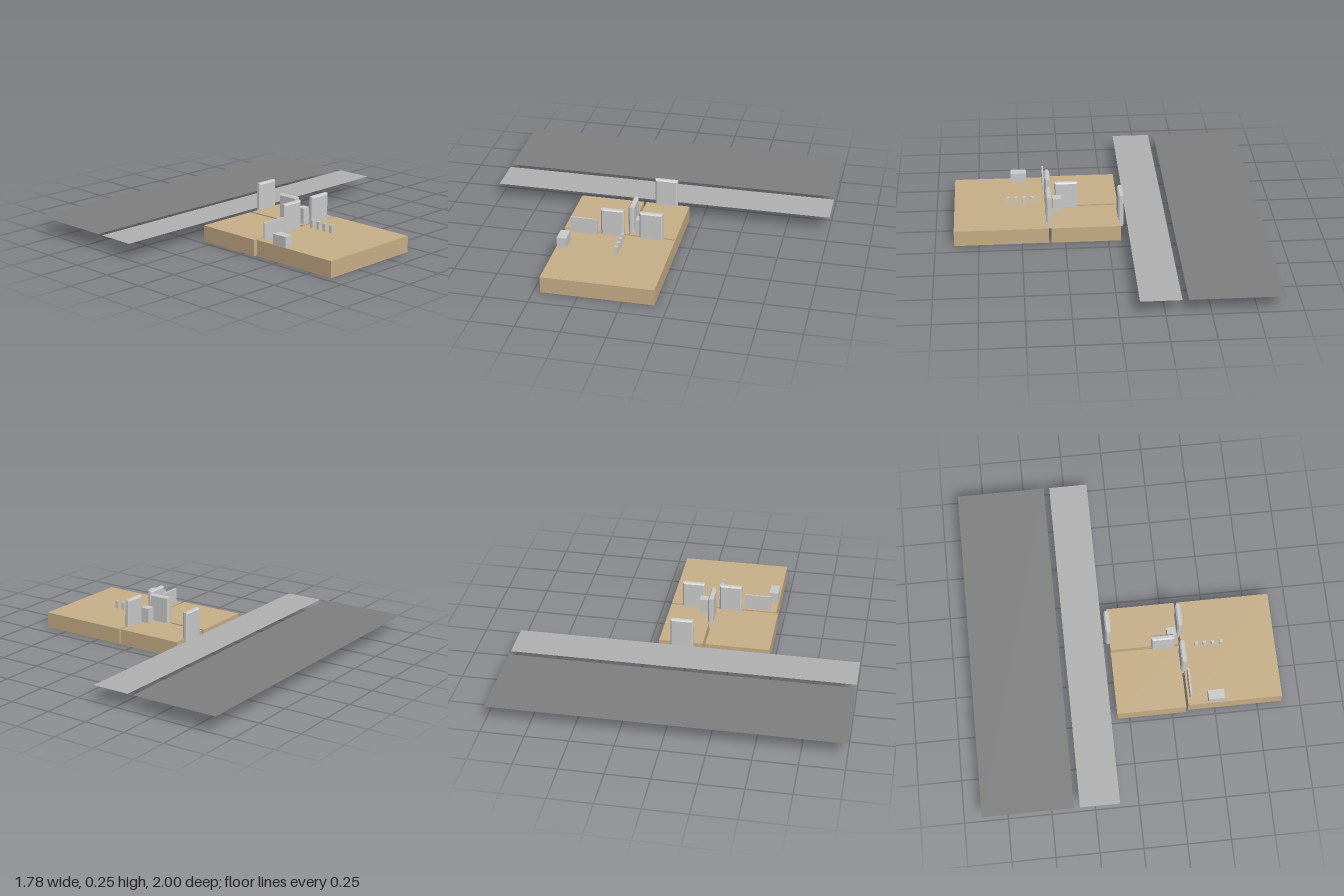
import * as THREE from 'three';

const grey = new THREE.MeshStandardMaterial({ color: 0xcccccc, flatShading: true });
const paint = (color, side = THREE.FrontSide) => new THREE.MeshStandardMaterial({ color, side });
const TOP = 0.095;

export function createModel() {
  const model = new THREE.Group();

  function add(name, geometry, material, x, y, z) {
    const mesh = new THREE.Mesh(geometry, material);
    mesh.name = name;
    mesh.position.set(x, y, z);
    model.add(mesh);
    return mesh;
  }

  // Box given by its limits on each axis
  function box(name, material, [x0, x1], [y0, y1], [z0, z1]) {
    return add(name, new THREE.BoxGeometry(x1 - x0, y1 - y0, z1 - z0), material,
      (x0 + x1) / 2, (y0 + y1) / 2, (z0 + z1) / 2);
  }

  // Flat strips beside the building, level with the floors
  function strip(name, color, x0, x1) {
    const geometry = new THREE.PlaneGeometry(x1 - x0, 2).rotateX(-Math.PI / 2);
    add(name, geometry, paint(color, THREE.DoubleSide), (x0 + x1) / 2, TOP, 0);
  }
  strip('road', 0x808080, -0.895, -0.372);
  strip('pavement', 0xb2b2b2, -0.338, -0.11);

  // Room floors
  const tan = paint(0xc8af88);
  box('entranceFloor', tan, [-0.072, 0.33], [0, TOP], [-0.178, 0.08]);
  box('hallFloor', tan, [-0.072, 0.33], [0, TOP], [0.096, 0.472]);
  box('mainRoomFloor', tan, [0.343, 0.89], [0, TOP], [-0.178, 0.461]);

  // Bevelled door slab, set slightly into the floor
  const bevel = 0.008, width = 0.134, height = 0.2, depth = 0.032;
  const w = width / 2 - bevel, h = height / 2 - bevel;
  const outline = new THREE.Shape([
    new THREE.Vector2(-w, -h), new THREE.Vector2(w, -h),
    new THREE.Vector2(w, h), new THREE.Vector2(-w, h),
  ]);
  const slab = new THREE.ExtrudeGeometry(outline, {
    depth: depth - 2 * bevel, bevelEnabled: true, bevelSize: bevel,
    bevelThickness: bevel, bevelSegments: 1,
  });
  slab.center();
  const doors = [
    ['entranceDoor', -0.078, -0.04, true],
    ['entranceToMainDoor', 0.34, -0.04, true],
    ['hallToMainDoor', 0.34, 0.184, true],
    ['entranceToHallDoor', 0.233, 0.087, false],
  ];
  for (const [name, x, z, turned] of doors) {
    const door = add(name, slab, grey, x, 0.155, z);
    if (turned) door.rotation.y = Math.PI / 2;
  }

  // Furniture
  box('screen', grey, [0.356, 0.366], [TOP, 0.19], [0.268, 0.425]);
  box('chest', grey, [0.46, 0.553], [TOP, 0.155], [0.402, 0.457]);
  box('cabinet', grey, [0.264, 0.315], [TOP, 0.185], [0.006, 0.058]);

  // Row of four small posts
  for (let i = 0; i < 4; i++) {
    const x = 0.43 + i * 0.0477;
    box('post', grey, [x - 0.009, x + 0.009], [0.108, 0.153], [0.098, 0.116]);
  }
  return model;
}
